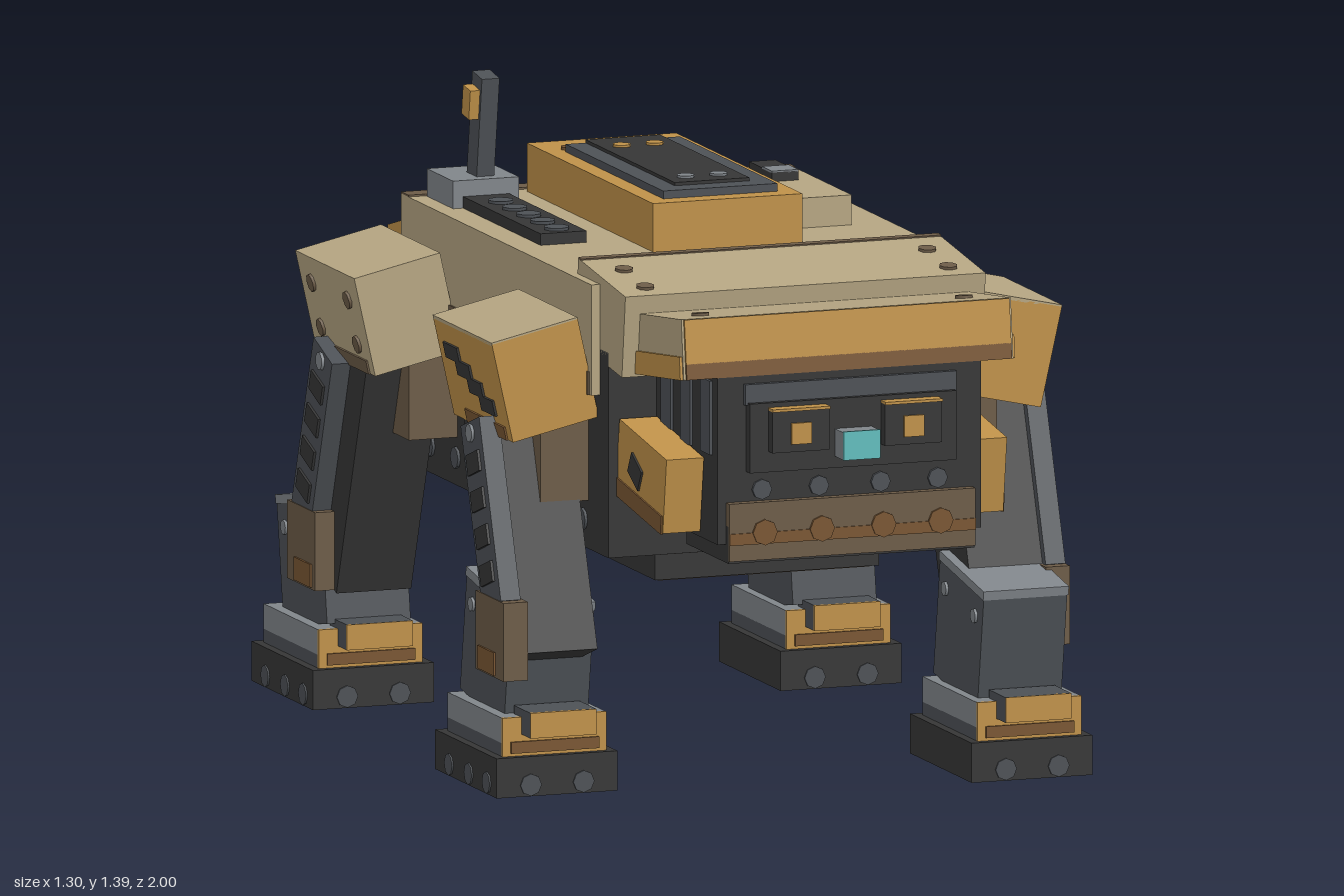
import * as THREE from 'three';

const mat = (name, color) => Object.assign(new THREE.MeshStandardMaterial({ color }), { name });
const tan = mat('sand armour', 0xb5a582);
const ochre = mat('ochre paint', 0xbf9149);
const dark = mat('charcoal', 0x363636);
const steel = mat('steel', 0x4d5156);
const light = mat('light steel', 0x80858a);
const brown = mat('worn brown', 0x6c5b47);
const rust = mat('rust brown', 0x795633);
const cyan = mat('cyan lens', 0x62bcbc);

// Box from centre, size and optional tilt about x
function block(parent, name, m, pos, size, tilt = 0) {
  const mesh = new THREE.Mesh(new THREE.BoxGeometry(...size), m);
  mesh.name = name;
  mesh.position.set(...pos);
  mesh.rotation.x = tilt;
  parent.add(mesh);
  return mesh;
}
// Box from its extents on each axis
function span(parent, name, m, [x0, x1], [y0, y1], [z0, z1]) {
  return block(parent, name, m, [(x0 + x1) / 2, (y0 + y1) / 2, (z0 + z1) / 2], [x1 - x0, y1 - y0, z1 - z0]);
}
// Thin round bolt head facing along one axis
function bolt(parent, m, pos, axis, r = 0.02) {
  const mesh = new THREE.Mesh(new THREE.CylinderGeometry(r, r, 0.008, 8), m);
  mesh.name = 'bolt';
  mesh.position.set(...pos);
  if (axis === 'x') mesh.rotation.z = Math.PI / 2;
  if (axis === 'z') mesh.rotation.x = Math.PI / 2;
  parent.add(mesh);
}
function group(parent, name) {
  const g = new THREE.Group();
  g.name = name;
  parent.add(g);
  return g;
}

function buildBody(root) {
  const g = group(root, 'body');
  span(g, 'lowerHull', dark, [-0.41, 0.41], [0.515, 0.96], [-0.72, 0.55]);
  span(g, 'upperHull', tan, [-0.43, 0.43], [0.86, 1.1], [-0.66, 0.5]);
  span(g, 'rearDeckEdge', brown, [-0.43, 0.43], [1.1, 1.104], [-0.66, -0.615]);
  span(g, 'belly', dark, [-0.255, 0.255], [0.435, 0.52], [-0.62, 0.42]);
  span(g, 'bellyPlate', brown, [-0.24, 0.24], [0.43, 0.436], [-0.6, 0.4]);
  for (const x of [-0.15, 0, 0.15])
    for (const z of [-0.35, 0.15]) span(g, 'bellySlot', dark, [x - 0.03, x + 0.03], [0.426, 0.432], [z - 0.2, z + 0.2]);
  span(g, 'underside', brown, [-0.4, 0.4], [0.511, 0.516], [-0.7, 0.53]);
  for (const s of [-1, 1]) {
    block(g, 'hullWear', brown, [s * 0.431, 0.885, -0.08], [0.006, 0.05, 1.14]);
    for (let i = 0; i < 7; i++) bolt(g, steel, [s * 0.412, 0.575, 0.4 - i * 0.155], 'x', 0.024);
    bolt(g, brown, [s * 0.37, 1.102, -0.56], 'y');
  }

  // Sloping neck armour
  const neck = group(g, 'neckArmour');
  neck.position.set(0, 1.027, 0.5);
  neck.rotation.x = 0.12;
  block(neck, 'neckPlate', tan, [0, 0, 0], [0.82, 0.18, 0.29]);
  block(neck, 'neckRearEdge', brown, [0, 0.091, -0.137], [0.82, 0.004, 0.016]);
  for (const x of [-0.345, 0.345]) for (const z of [-0.04, 0.09]) bolt(neck, brown, [x, 0.092, z], 'y');

  // Sloping rear armour and tail box
  const rear = group(g, 'rearArmour');
  rear.position.set(0, 0.945, -0.77);
  rear.rotation.x = -0.27;
  block(rear, 'rearPlate', ochre, [0, 0, 0], [0.73, 0.155, 0.265]);
  block(rear, 'rearPlateWear', rust, [0, -0.06, -0.133], [0.73, 0.035, 0.005]);
  for (const x of [-0.3, 0.3]) bolt(rear, brown, [x, 0.08, -0.04], 'y');
  span(g, 'rearBox', dark, [-0.3, 0.3], [0.65, 0.94], [-0.91, -0.7]);
  span(g, 'rearFrame', steel, [-0.25, 0.25], [0.72, 0.74], [-0.917, -0.91]);
  span(g, 'tailHitch', light, [-0.062, 0.062], [0.61, 0.75], [-0.975, -0.9]);
  for (const x of [-0.14, 0.14]) {
    span(g, 'tailLamp', ochre, [x - 0.025, x + 0.025], [0.77, 0.83], [-0.917, -0.91]);
    for (const y of [0.69, 0.86]) bolt(g, steel, [x * 1.7, y, -0.912], 'z');
  }
}

function buildDeck(root) {
  const g = group(root, 'deck');
  // Raised hatch
  span(g, 'hatchBase', ochre, [-0.17, 0.17], [1.09, 1.205], [-0.59, 0.18]);
  span(g, 'hatchFrame', steel, [-0.13, 0.13], [1.2, 1.222], [-0.46, 0.135]);
  span(g, 'hatchPanel', dark, [-0.085, 0.085], [1.215, 1.229], [-0.46, 0.085]);
  for (const x of [-0.055, 0.02]) {
    bolt(g, ochre, [x + 0.015, 1.23, -0.36], 'y');
    bolt(g, light, [x + 0.015, 1.23, 0.03], 'y');
  }
  for (const x of [-0.11, 0.11]) bolt(g, rust, [x, 1.207, -0.49], 'y');
  // Vent strip
  span(g, 'ventStrip', dark, [-0.367, -0.262], [1.09, 1.125], [-0.45, 0.022]);
  for (let i = 0; i < 5; i++) bolt(g, steel, [-0.315, 1.127, -0.36 + i * 0.085], 'y', 0.028);
  // Mast
  span(g, 'mastBase', light, [-0.39, -0.24], [1.09, 1.16], [-0.61, -0.45]);
  block(g, 'mast', steel, [-0.305, 1.265, -0.495], [0.04, 0.235, 0.06], 0.15);
  block(g, 'mastTag', ochre, [-0.336, 1.322, -0.487], [0.022, 0.065, 0.045], 0.15);
  // Side locker
  span(g, 'locker', tan, [0.19, 0.34], [1.09, 1.165], [-0.35, 0.025]);
  span(g, 'lockerEdge', brown, [0.19, 0.34], [1.165, 1.168], [-0.35, -0.32]);
  span(g, 'lockerLatch', dark, [0.235, 0.295], [1.16, 1.185], [-0.32, -0.18]);
  span(g, 'latchCap', light, [0.235, 0.295], [1.183, 1.188], [-0.24, -0.18]);
}

function buildHead(root) {
  const g = group(root, 'head');
  span(g, 'skull', dark, [-0.3, 0.3], [0.6, 0.98], [0.5, 0.92]);
  span(g, 'jaw', dark, [-0.28, 0.28], [0.56, 0.64], [0.68, 0.935]);
  for (const s of [-1, 1]) {
    for (const z of [0.62, 0.74, 0.86]) block(g, 'skullRib', steel, [s * 0.302, 0.87, z], [0.008, 0.16, 0.06]);
    block(g, 'cheekPlate', ochre, [s * 0.345, 0.715, 0.69], [0.085, 0.165, 0.29], 0.14);
    block(g, 'cheekWear', rust, [s * 0.388, 0.65, 0.68], [0.006, 0.04, 0.28], 0.14);
    block(g, 'cheekPatch', dark, [s * 0.389, 0.72, 0.66], [0.006, 0.05, 0.07], 0.5);
    // Eyes
    block(g, 'eyeHousing', dark, [s * 0.128, 0.845, 0.955], [0.13, 0.09, 0.03]);
    block(g, 'eyeHood', ochre, [s * 0.128, 0.892, 0.957], [0.13, 0.006, 0.034]);
    block(g, 'eye', ochre, [s * 0.128, 0.84, 0.972], [0.046, 0.046, 0.006]);
  }
  // Brow cowl
  const cowl = group(g, 'cowl');
  cowl.position.set(0, 1.008, 0.765);
  cowl.rotation.x = -0.12;
  block(cowl, 'cowlPlate', tan, [0, 0, 0], [0.75, 0.13, 0.29]);
  block(cowl, 'cowlFront', ochre, [0, 0.016, 0.147], [0.74, 0.096, 0.008]);
  block(cowl, 'cowlLip', rust, [0, -0.048, 0.147], [0.74, 0.034, 0.008]);
  for (const s of [-1, 1]) {
    block(cowl, 'cowlSideTrim', ochre, [s * 0.377, -0.04, 0], [0.008, 0.05, 0.28]);
    bolt(cowl, brown, [s * 0.3, 0.067, 0.06], 'y');
  }
  // Visor, lens and muzzle
  span(g, 'visor', dark, [-0.235, 0.235], [0.755, 0.905], [0.9, 0.945]);
  span(g, 'visorTop', steel, [-0.24, 0.24], [0.9, 0.945], [0.9, 0.932]);
  span(g, 'lensBarrel', light, [-0.042, 0.042], [0.78, 0.84], [0.93, 0.994]);
  span(g, 'lens', cyan, [-0.042, 0.042], [0.78, 0.842], [0.994, 1]);
  span(g, 'muzzle', brown, [-0.28, 0.28], [0.565, 0.69], [0.88, 0.94]);
  for (const x of [-0.2, -0.07, 0.07, 0.2]) {
    bolt(g, steel, [x, 0.715, 0.923], 'z', 0.022);
    bolt(g, rust, [x, 0.625, 0.942], 'z', 0.028);
  }
  span(g, 'muzzleGroove', rust, [-0.28, 0.28], [0.6, 0.625], [0.94, 0.943]);
}

// s: side (+1 left), f: +1 front or -1 rear, hipZ and footZ along the body
function buildLeg(root, s, f, hipZ, footZ) {
  const g = group(root, (f > 0 ? 'front' : 'rear') + (s > 0 ? 'Left' : 'Right') + 'Leg');
  const lean = -f * 0.34;
  block(g, 'hipMount', brown, [s * 0.44, 0.76, hipZ - f * 0.02], [0.16, 0.28, 0.3]);
  block(g, 'thigh', dark, [s * 0.515, 0.55, hipZ + f * 0.055], [0.17, 0.56, 0.19], lean);

  // Shoulder armour
  const sh = group(g, 'shoulder');
  sh.position.set(s * 0.527, 0.895, hipZ);
  sh.rotation.z = -s * 0.22;
  block(sh, 'shoulderArmour', f > 0 ? ochre : tan, [0, 0, 0], [0.2, 0.22, 0.36]);
  block(sh, 'shoulderWear', f > 0 ? rust : brown, [s * 0.101, -0.095, 0.03], [0.006, 0.03, 0.24]);
  if (f > 0) {
    block(sh, 'shoulderTop', tan, [0, 0.11, 0], [0.2, 0.008, 0.36]);
    for (let i = 0; i < 4; i++)
      block(sh, 'camoStripe', dark, [s * 0.102, -0.045 + i * 0.03, 0.07 - i * 0.055], [0.006, 0.035, 0.085]);
  } else {
    for (const y of [-0.05, 0.05]) for (const z of [-0.11, 0.11]) bolt(sh, brown, [s * 0.102, y, z], 'x');
  }

  // Outer strut with treads, and knee pad
  const strut = group(g, 'strut');
  strut.position.set(s * 0.62, 0.6, hipZ + f * 0.095);
  strut.rotation.x = lean;
  block(strut, 'strutBar', steel, [0, 0, 0], [0.045, 0.4, 0.12]);
  for (let i = 0; i < 4; i++) block(strut, 'strutTread', dark, [s * 0.024, -0.13 + i * 0.08, 0], [0.008, 0.045, 0.075]);
  bolt(strut, light, [s * 0.025, 0.175, 0], 'x');
  block(g, 'kneePad', brown, [s * 0.617, 0.345, hipZ + f * 0.155], [0.055, 0.17, 0.17]);
  block(g, 'kneePatch', rust, [s * 0.646, 0.29, hipZ + f * 0.14], [0.006, 0.05, 0.1]);

  // Shin
  const shin = group(g, 'shin');
  shin.position.set(s * 0.505, 0.29, footZ);
  shin.rotation.x = f * 0.16;
  block(shin, 'shinBox', steel, [0, 0, 0], [0.19, 0.27, 0.27]);
  block(shin, 'shinCap', light, [0, 0.13, 0], [0.194, 0.02, 0.274]);
  for (const z of [-0.09, 0.09]) for (const x of [-1, 1]) bolt(shin, light, [x * 0.097, 0.07, z], 'x', 0.016);

  // Foot
  const foot = group(g, 'foot');
  foot.position.set(s * 0.507, 0, footZ);
  block(foot, 'sole', dark, [0, 0.043, 0], [0.275, 0.086, 0.375]);
  block(foot, 'ankleLower', steel, [0, 0.1, 0], [0.236, 0.03, 0.33]);
  block(foot, 'ankle', light, [0, 0.142, 0], [0.236, 0.055, 0.33]);
  block(foot, 'ankleFront', ochre, [0, 0.128, 0.168], [0.236, 0.084, 0.008]);
  block(foot, 'ankleWear', rust, [0, 0.105, 0.174], [0.2, 0.025, 0.006]);
  block(foot, 'toe', steel, [0, 0.16, 0.175], [0.15, 0.055, 0.1]);
  block(foot, 'toeFront', ochre, [0, 0.16, 0.224], [0.15, 0.055, 0.008]);
  for (const z of [-0.1, 0.02, 0.13]) bolt(foot, steel, [s * 0.137, 0.025, z], 'x', 0.024);
  for (const x of [-0.06, 0.06]) bolt(foot, steel, [x, 0.025, 0.187], 'z', 0.024);
}

export function createModel() {
  const root = new THREE.Group();
  root.name = 'walkerRobot';
  buildBody(root);
  buildDeck(root);
  buildHead(root);
  buildLeg(root, 1, 1, 0.3, 0.49);
  buildLeg(root, -1, 1, 0.3, 0.31);
  buildLeg(root, 1, -1, -0.54, -0.675);
  buildLeg(root, -1, -1, -0.54, -0.81);
  return root;
}
